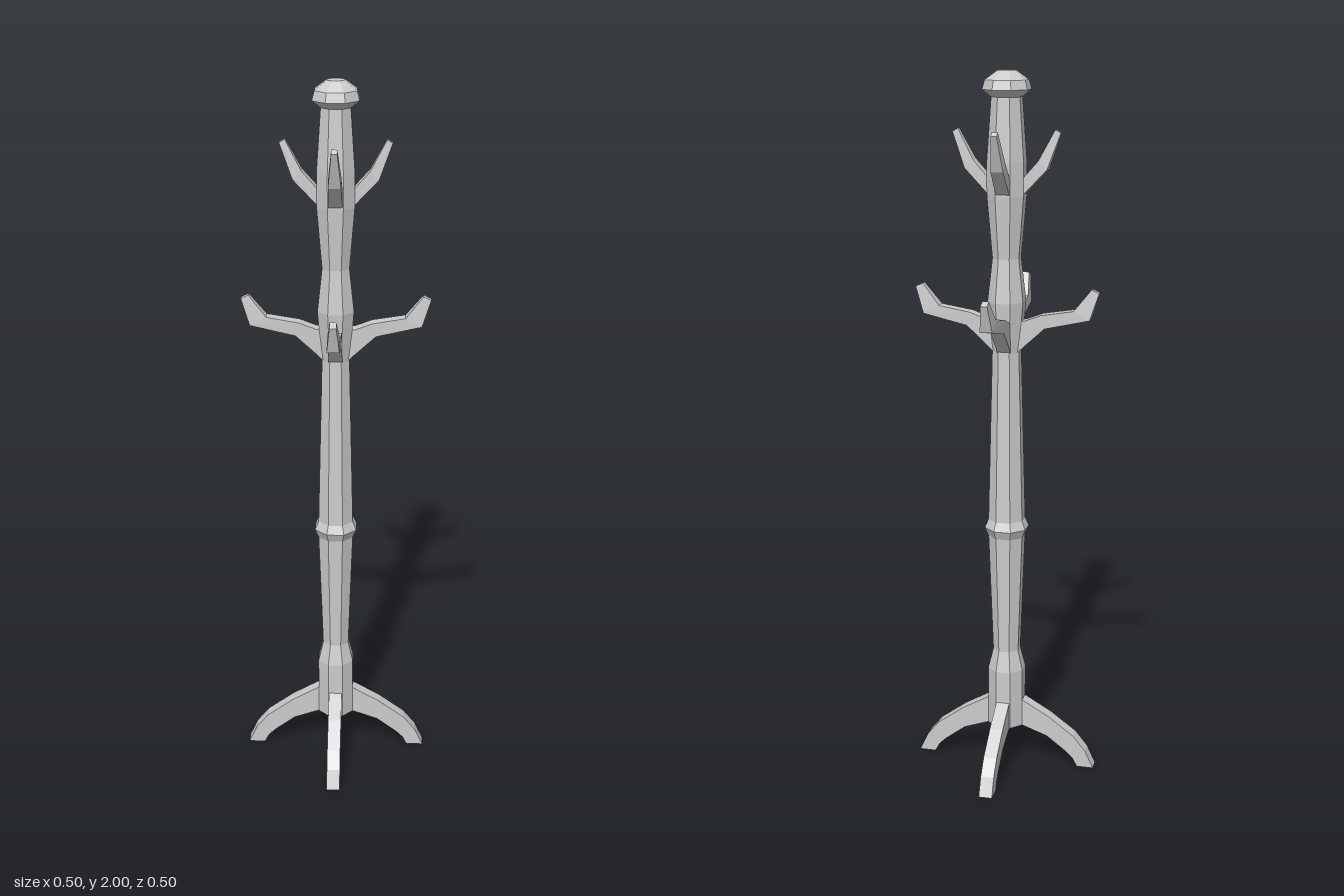
import * as THREE from 'three';

const material = new THREE.MeshStandardMaterial({ color: 0xcccccc, flatShading: true });

function flat(geometry) {
  const g = geometry.index ? geometry.toNonIndexed() : geometry;
  g.computeVertexNormals();
  return g;
}

// Tapering bar along +x. Station: [top x, top y, bottom x, bottom y, half width top, half width bottom]
function limbGeometry(stations) {
  const pos = [], index = [];
  for (const [tx, ty, bx, by, wt, wb] of stations) {
    pos.push(tx, ty, wt, tx, ty, -wt, bx, by, -wb, bx, by, wb);
  }
  const quad = (a, b, c, d) => index.push(a, b, c, a, c, d);
  for (let i = 0; i < stations.length - 1; i++) {
    for (let k = 0; k < 4; k++) {
      const n = (k + 1) % 4, o = i * 4;
      quad(o + k, o + 4 + k, o + 4 + n, o + n);
    }
  }
  const e = (stations.length - 1) * 4;
  quad(0, 1, 2, 3);
  quad(e + 3, e + 2, e + 1, e);
  const g = new THREE.BufferGeometry();
  g.setAttribute('position', new THREE.Float32BufferAttribute(pos, 3));
  g.setIndex(index);
  return flat(g);
}

// Eight-sided turned part
function turned(name, profile) {
  const points = profile.map(([r, y]) => new THREE.Vector2(r, y));
  const mesh = new THREE.Mesh(flat(new THREE.LatheGeometry(points, 8)), material);
  mesh.name = name;
  return mesh;
}

// Four copies around the pole, each centred on a face of the octagon
function ring(name, partName, stations) {
  const group = new THREE.Group();
  group.name = name;
  const geometry = limbGeometry(stations);
  for (let i = 0; i < 4; i++) {
    const mesh = new THREE.Mesh(geometry, material);
    mesh.name = partName + (i + 1);
    mesh.rotation.y = Math.PI / 8 + i * Math.PI / 2;
    group.add(mesh);
  }
  return group;
}

export function createModel() {
  const model = new THREE.Group();
  model.name = 'coatStand';

  // Pole with swellings at the base, middle and both hook rings
  model.add(turned('pole', [
    [0, 0.115], [0.055, 0.115], [0.055, 0.29], [0.04, 0.35],
    [0.053, 0.70], [0.064, 0.725], [0.053, 0.75], [0.041, 1.24],
    [0.054, 1.38], [0.04, 1.5], [0.055, 1.67], [0.055, 1.76], [0.042, 1.94],
  ]));

  // Faceted knob on top
  model.add(turned('knob', [
    [0, 1.93], [0.042, 1.93], [0.067, 1.95], [0.06, 1.975], [0.025, 2], [0, 2],
  ]));

  // Splayed feet
  model.add(ring('legs', 'leg', [
    [0.035, 0.2, 0.035, 0.117, 0.019, 0.019],
    [0.055, 0.193, 0.055, 0.113, 0.019, 0.019],
    [0.13, 0.15, 0.125, 0.088, 0.019, 0.019],
    [0.205, 0.095, 0.182, 0.045, 0.019, 0.019],
    [0.24, 0.052, 0.203, 0.025, 0.019, 0.019],
    [0.264, 0, 0.216, 0, 0.019, 0.019],
  ]));

  // Long coat hooks
  model.add(ring('lowerHooks', 'lowerHook', [
    [0.03, 1.325, 0.03, 1.235, 0.019, 0.019],
    [0.055, 1.33, 0.05, 1.255, 0.019, 0.019],
    [0.1, 1.347, 0.11, 1.31, 0.019, 0.019],
    [0.19, 1.362, 0.235, 1.338, 0.017, 0.017],
    [0.238, 1.422, 0.259, 1.412, 0.009, 0.009],
  ]));

  // Short hat hooks
  model.add(ring('upperHooks', 'upperHook', [
    [0.03, 1.735, 0.03, 1.665, 0.019, 0.019],
    [0.05, 1.72, 0.05, 1.675, 0.019, 0.019],
    [0.09, 1.765, 0.114, 1.742, 0.017, 0.017],
    [0.134, 1.847, 0.149, 1.838, 0.008, 0.008],
  ]));

  return model;
}
